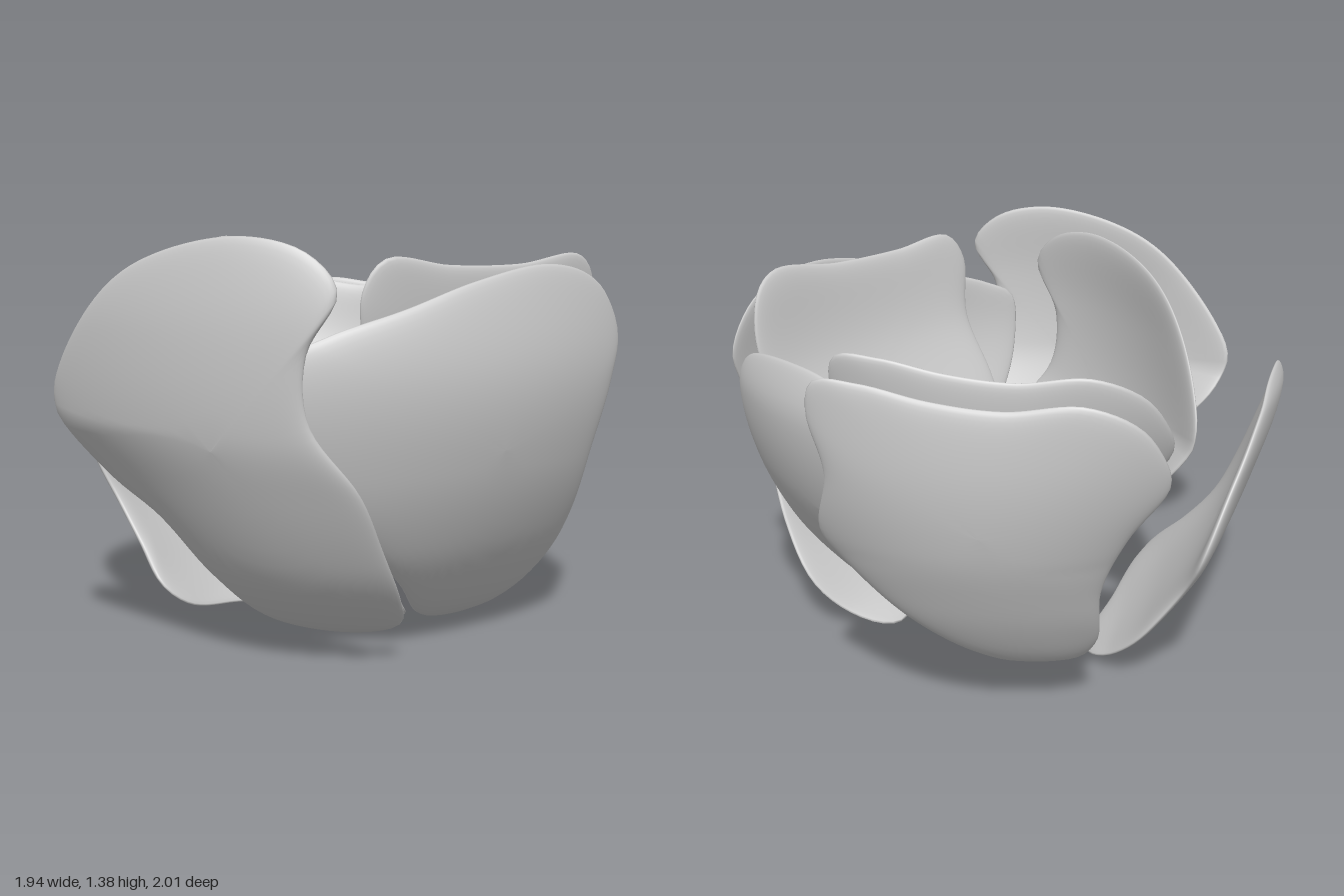
import * as THREE from 'three';

const SEGMENTS = 112; // steps around a petal outline
const RINGS = 32;     // steps from the outer middle, over the rim, to the inner middle
const THICKNESS = 0.019;

// Smooth depth for a height, from [depth, height] points
function depthAt(profile, y) {
  const n = profile.length;
  y = THREE.MathUtils.clamp(y, profile[0][1], profile[n - 1][1]);
  let i = 0;
  while (i < n - 2 && y > profile[i + 1][1]) i++;
  const slope = (k) => {
    const a = profile[Math.max(k - 1, 0)], b = profile[Math.min(k + 1, n - 1)];
    return (b[0] - a[0]) / (b[1] - a[1]);
  };
  const [d0, y0] = profile[i], [d1, y1] = profile[i + 1];
  const h = y1 - y0, t = (y - y0) / h, t2 = t * t, t3 = t2 * t;
  return d0 * (2 * t3 - 3 * t2 + 1) + d1 * (3 * t2 - 2 * t3)
    + h * slope(i) * (t3 - 2 * t2 + t) + h * slope(i + 1) * (t3 - t2);
}

// How far the sides of a petal curl inward
const bow = (amount, middle) => (u) => amount * (u - middle) ** 2;

// A cupped petal: a clockwise outline (across, height) on a curved sheet, with a rounded rim.
// yaw turns it about the y axis; shift moves it across and outward.
function petal(name, { outline, profile, curl, yaw = 0, shift = [0, 0] }) {
  const sin = Math.sin(yaw), cos = Math.cos(yaw);
  const sheet = (u, y) => {
    const d = depthAt(profile, y) - curl(u, y) + shift[1];
    const a = u + shift[0];
    return new THREE.Vector3(a * cos + d * sin, y, -a * sin + d * cos);
  };
  const normal = (u, y) => {
    const e = 0.015;
    const du = sheet(u + e, y).sub(sheet(u - e, y));
    const dy = sheet(u, y + e).sub(sheet(u, y - e));
    return du.cross(dy).normalize();
  };
  const loop = new THREE.CatmullRomCurve3(
    outline.map(([u, y]) => new THREE.Vector3(u, y, 0)), true).getSpacedPoints(SEGMENTS);
  const centre = new THREE.Vector3();
  for (let i = 0; i < SEGMENTS; i++) centre.addScaledVector(loop[i], 1 / SEGMENTS);

  const positions = [], index = [];
  for (let k = 0; k <= RINGS; k++) {
    const r = Math.sin(Math.PI * k / RINGS);
    const side = k <= RINGS / 2 ? 1 : -1;
    const lift = side * THICKNESS * Math.sqrt(Math.max(0, 1 - r ** 10));
    for (let i = 0; i < SEGMENTS; i++) {
      const p = centre.clone().lerp(loop[i], r);
      positions.push(...sheet(p.x, p.y).addScaledVector(normal(p.x, p.y), lift).toArray());
      if (k === RINGS) continue;
      const a = k * SEGMENTS + i, b = k * SEGMENTS + (i + 1) % SEGMENTS;
      if (k > 0) index.push(b, a, a + SEGMENTS);
      if (k < RINGS - 1) index.push(b + SEGMENTS, b, a + SEGMENTS);
    }
  }
  const geometry = new THREE.BufferGeometry();
  geometry.setAttribute('position', new THREE.Float32BufferAttribute(positions, 3));
  geometry.setIndex(index);
  geometry.computeVertexNormals();
  const material = new THREE.MeshStandardMaterial({ color: 0xcccccc, side: THREE.DoubleSide });
  const mesh = new THREE.Mesh(geometry, material);
  mesh.name = name;
  return mesh;
}

// Front petal, repeated turned and moved inward; it curls more toward the base
const front = {
  outline: [[-0.3, 1.34], [0, 1.39], [0.2, 1.34], [0.29, 1.23], [0.2, 1.05], [0.2, 0.85],
    [0.33, 0.63], [0.37, 0.45], [0.39, 0.25], [0.36, 0.13], [0.2, 0.08], [-0.1, 0.13],
    [-0.24, 0.28], [-0.4, 0.48], [-0.6, 0.6], [-0.74, 0.75], [-0.78, 0.87], [-0.72, 1], [-0.5, 1.24]],
  profile: [[0.47, 0.08], [0.55, 0.13], [0.69, 0.26], [0.78, 0.38], [0.89, 0.6], [0.96, 0.8],
    [0.985, 1.1], [0.96, 1.39]],
  curl: (u, y) => (0.38 + 0.8 * Math.max(0, 0.8 - y)) * (u - 0.1) ** 2,
};

// Back petals share an outline and curl less toward the top
const back = {
  outline: [[-0.44, 1.25], [-0.3, 1.25], [-0.1, 1.21], [0.12, 1.19], [0.35, 1.21], [0.5, 1.15], [0.57, 1.06],
    [0.6, 0.94], [0.48, 0.75], [0.4, 0.55], [0.38, 0.3], [0.3, 0.2], [0.15, 0.2], [0, 0.26], [-0.2, 0.4],
    [-0.4, 0.6], [-0.48, 0.71], [-0.43, 0.95], [-0.47, 1.15]],
  curl: (u, y) => Math.min(0.58, 0.8 * (1.38 - y)) * u * u,
  yaw: Math.PI,
};

const rightOuter = {
  outline: [[-0.6, 1.03], [-0.5, 1.09], [-0.25, 1.17], [0, 1.25], [0.3, 1.3], [0.53, 1.27], [0.66, 1.2],
    [0.74, 1.06], [0.69, 0.9], [0.63, 0.65], [0.64, 0.4], [0.62, 0.2], [0.5, 0.06], [0.36, 0.01],
    [0.24, 0.03], [0.05, 0.1], [-0.1, 0.24], [-0.28, 0.4], [-0.5, 0.6], [-0.6, 0.82]],
  profile: [[0.26, 0.01], [0.38, 0.07], [0.51, 0.2], [0.64, 0.38], [0.76, 0.65], [0.82, 0.95], [0.78, 1.3]],
  curl: bow(0.35, 0.05),
  yaw: 0.863,
};

const rightInner = {
  outline: [[-0.42, 1.22], [-0.35, 1.32], [-0.1, 1.3], [0.2, 1.3], [0.5, 1.33], [0.59, 1.27],
    [0.63, 1.08], [0.54, 0.8], [0.45, 0.57], [0.45, 0.38], [0.35, 0.32], [0.15, 0.31], [-0.1, 0.39],
    [-0.26, 0.46], [-0.4, 0.54], [-0.43, 0.75], [-0.4, 1]],
  profile: [[0.21, 0.3], [0.41, 0.5], [0.55, 0.75], [0.66, 1], [0.71, 1.33]],
  curl: bow(0.15, 0.08),
  yaw: 0.952,
};

const backRight = {
  outline: [[-0.57, 1.02], [-0.5, 1.11], [-0.2, 1.17], [0.06, 1.14], [0.24, 0.99], [0.39, 0.8], [0.38, 0.55],
    [0.3, 0.29], [0.16, 0.22], [-0.1, 0.21], [-0.28, 0.22], [-0.43, 0.27], [-0.52, 0.4], [-0.56, 0.7]],
  profile: [[0.32, 0.21], [0.47, 0.26], [0.58, 0.36], [0.7, 0.52], [0.81, 0.75], [0.86, 1], [0.83, 1.17]],
  curl: bow(0.43, -0.06),
  yaw: 2.52,
};

// Left petal folds in toward its back edge, more so higher up
const left = {
  outline: [[0.29, 0.75], [0.3, 0.6], [0.29, 0.45], [0.34, 0.3], [0.41, 0.17], [0.36, 0.1], [0.1, 0.04],
    [-0.15, 0.01], [-0.33, 0.05], [-0.45, 0.18], [-0.5, 0.4], [-0.57, 0.55], [-0.54, 0.66],
    [-0.42, 0.83], [-0.3, 0.95], [-0.15, 1.03], [0.06, 1.05], [0.2, 0.99], [0.27, 0.88]],
  profile: [[0.32, 0.01], [0.45, 0.09], [0.6, 0.24], [0.79, 0.5], [0.91, 0.8], [0.95, 0.97], [0.94, 1.05]],
  curl: (u, y) => 0.25 * (0.3 + 0.8 * y) * (Math.hypot(u - 0.15, 0.12) ** 1.3 - 0.12 ** 1.3),
  yaw: -Math.PI / 2,
};

export function createModel() {
  const flower = new THREE.Group();
  flower.name = 'flowerPetals';
  flower.add(
    petal('frontPetal', front),
    petal('frontInnerPetal', { ...front, yaw: -0.68, shift: [0.115, -0.44] }),
    petal('backOuterPetal', {
      ...back,
      profile: [[0.65, 0.19], [0.71, 0.24], [0.8, 0.38], [0.86, 0.5], [0.94, 0.7], [0.985, 0.95], [0.98, 1.26]],
    }),
    petal('backInnerPetal', {
      ...back,
      profile: [[0.16, 0.19], [0.25, 0.29], [0.37, 0.42], [0.57, 0.65], [0.69, 0.95], [0.735, 1.25]],
    }),
    petal('backRightPetal', backRight),
    petal('rightOuterPetal', rightOuter),
    petal('rightInnerPetal', rightInner),
    petal('leftPetal', left),
  );
  return flower;
}
